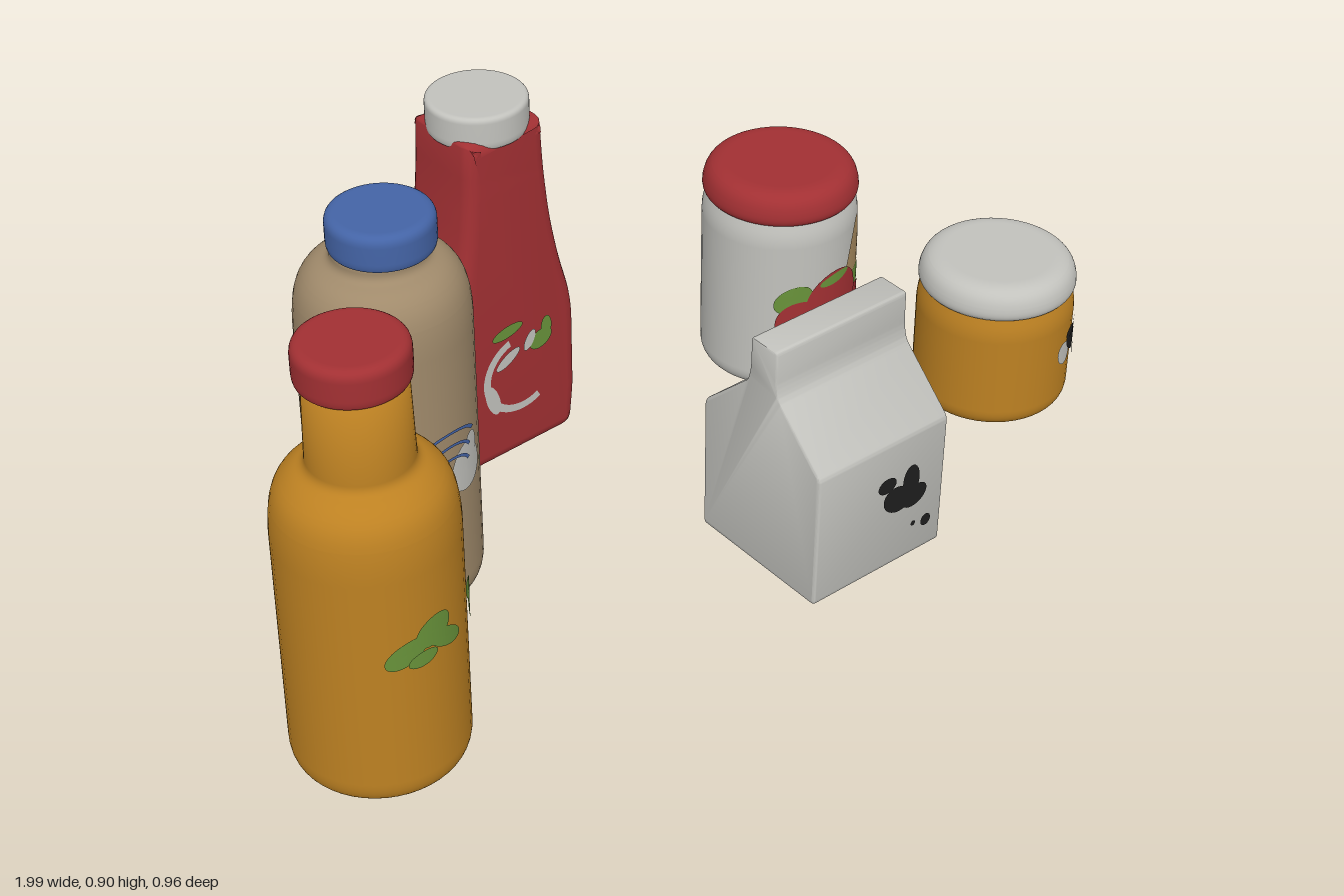
import * as THREE from 'three';
import { toCreasedNormals } from 'three/addons/utils/BufferGeometryUtils.js';

const paint = (name, color) => {
  const m = new THREE.MeshStandardMaterial({ color });
  m.name = name;
  return m;
};

export function createModel() {
  const amber = paint('amber', 0xbd8122), red = paint('red', 0xa23033);
  const white = paint('white', 0xc2c2bd), beige = paint('beige', 0xa08a6b);
  const blue = paint('blue', 0x4464a6), green = paint('green', 0x68923a);
  const black = paint('black', 0x1e1e1e), tan = paint('tan', 0xa98c60);

  const model = new THREE.Group();
  model.name = 'groceries';

  const item = (name, x, z, turn = 0) => {
    const g = new THREE.Group();
    g.name = name;
    g.position.set(x, 0, z);
    g.rotation.y = turn;
    model.add(g);
    return g;
  };
  const add = (parent, name, geometry, material) => {
    const mesh = new THREE.Mesh(geometry, material);
    mesh.name = name;
    parent.add(mesh);
    return mesh;
  };

  // Outline through corners [x, y, rounding]
  const roundInto = (path, pts, closed) => {
    const v = pts.map(p => new THREE.Vector2(p[0], p[1]));
    const n = v.length;
    pts.forEach((p, i) => {
      const first = i === 0, last = i === n - 1;
      const r = p[2] || 0;
      if (!r || (!closed && (first || last))) {
        first ? path.moveTo(p[0], p[1]) : path.lineTo(p[0], p[1]);
        return;
      }
      const toward = q => v[i].clone().add(q.clone().sub(v[i]).setLength(Math.min(r, q.distanceTo(v[i]) * 0.49)));
      const a = toward(v[(i + n - 1) % n]), b = toward(v[(i + 1) % n]);
      first ? path.moveTo(a.x, a.y) : path.lineTo(a.x, a.y);
      path.quadraticCurveTo(v[i].x, v[i].y, b.x, b.y);
    });
    if (closed) path.closePath();
    return path;
  };
  const turned = pts => new THREE.LatheGeometry(roundInto(new THREE.Path(), pts, false).getPoints(6), 48);
  const slab = (pts, depth, bevel) => {
    const g = new THREE.ExtrudeGeometry(roundInto(new THREE.Shape(), pts, true), {
      depth: depth - 2 * bevel, bevelEnabled: true, bevelSize: bevel, bevelThickness: bevel,
      bevelOffset: -bevel, bevelSegments: 4, curveSegments: 6,
    });
    g.translate(0, 0, bevel - depth / 2);
    return toCreasedNormals(g, 0.6);
  };
  const cap = (r, y0, y1, round) => turned([[0, y0], [r - 0.004, y0, 0.01], [r, y0 + 0.012, 0.008], [r, y1, round], [0, y1]]);

  // Thin painted patch; wraps round the body when a radius is given
  const patch = (parent, name, mat, o) => {
    const { x, y, w, h, turn = 0, taper = 0, inner = 0, from = 0, sweep = Math.PI * 2, radius = 0, front = 0, lift = 0.002 } = o;
    const g = new THREE.RingGeometry(inner, 1, 28, 5, from, sweep);
    const p = g.attributes.position, c = Math.cos(turn), s = Math.sin(turn);
    for (let i = 0; i < p.count; i++) {
      const a = p.getX(i) * w * (1 - taper * p.getY(i)), b = p.getY(i) * h;
      const u = x + a * c - b * s, t = y + a * s + b * c;
      if (radius) p.setXYZ(i, (radius + lift) * Math.sin(u / radius), t, (radius + lift) * Math.cos(u / radius));
      else p.setXYZ(i, u, t, front + lift);
    }
    g.computeVertexNormals();
    return add(parent, name, g, mat);
  };
  // Rows of [material, x, y, halfWidth, halfHeight, turn, taper]
  const patches = (parent, name, base, rows) => rows.forEach(([mat, x, y, w, h, turn, taper], i) =>
    patch(parent, name, mat, { x, y, w, h, turn, taper, lift: 0.002 + i * 0.0007, ...base }));

  // Tall amber bottle
  const sauce = item('amberBottle', -0.832, 0.272);
  add(sauce, 'bottleBody', turned([[0, 0], [0.152, 0, 0.02], [0.168, 0.025, 0.025], [0.168, 0.545, 0.04],
    [0.157, 0.605, 0.03], [0.128, 0.638, 0.02], [0.097, 0.652, 0.015], [0.092, 0.83], [0, 0.83]]), amber);
  add(sauce, 'bottleCap', cap(0.103, 0.822, 0.9, 0.022), red).position.z = -0.006;
  patches(sauce, 'leaf', { radius: 0.168 }, [
    [green, -0.035, 0.345, 0.045, 0.024, 0.5], [green, 0.02, 0.375, 0.04, 0.03, 0.5],
    [green, 0.045, 0.345, 0.045, 0.02, -0.5], [green, -0.005, 0.325, 0.03, 0.016, 0.2],
    [green, 0.16, 0.335, 0.02, 0.045, 0.25], [green, 0.145, 0.375, 0.02, 0.03, 0.6],
  ]);

  // Beige bottle
  const shake = item('beigeBottle', -0.533, -0.115);
  add(shake, 'bottleBody', turned([[0, 0], [0.15, 0, 0.025], [0.168, 0.03, 0.03], [0.168, 0.645, 0.04],
    [0.157, 0.7, 0.03], [0.13, 0.735, 0.02], [0.092, 0.748, 0.015], [0.092, 0.79], [0, 0.79]]), beige);
  const blueCap = add(shake, 'bottleCap', cap(0.103, 0.776, 0.852, 0.022), blue);
  blueCap.position.z = 0.012;
  patches(shake, 'labelDrop', { radius: 0.168 }, [
    [white, 0.07, 0.325, 0.046, 0.055, 0.1, 0.2], [white, 0.085, 0.365, 0.02, 0.03],
    [black, -0.075, 0.405, 0.028, 0.006, -0.1], [black, -0.065, 0.365, 0.026, 0.005, -0.1],
    [black, -0.06, 0.335, 0.022, 0.005, -0.2],
  ]);
  for (const [y, w] of [[0.385, 0.075], [0.355, 0.06], [0.325, 0.055]])
    patch(shake, 'labelStripe', blue, { x: 0.025, y, w, h: 0.045, inner: 0.86, from: 0.45, sweep: 2.1, radius: 0.168, lift: 0.005 });

  // Red squeeze bottle with a flat, waisted body
  const ketchup = item('redBottle', -0.13, -0.375, 0.06);
  const side = [[0.155, 0, 0.03], [0.166, 0.1, 0.02], [0.166, 0.32, 0.05], [0.135, 0.43, 0.04],
    [0.113, 0.54, 0.05], [0.1, 0.66, 0.04], [0.094, 0.775, 0.01]];
  const mirrored = side.map(([x, y, r]) => [-x, y, r]).reverse();
  add(ketchup, 'bottleBody', slab([...side, ...mirrored], 0.19, 0.028), red);
  add(ketchup, 'bottleCap', cap(0.103, 0.752, 0.825, 0.012), white);
  patch(ketchup, 'fruitOutline', white, { x: 0.015, y: 0.205, w: 0.1, h: 0.095, inner: 0.82, from: 1.9, sweep: 3.3, front: 0.095 });
  patches(ketchup, 'fruitLeaf', { front: 0.095 }, [
    [white, -0.062, 0.165, 0.016, 0.04, 0.3], [white, -0.02, 0.25, 0.035, 0.013, 0.5],
    [green, -0.02, 0.318, 0.04, 0.014, 0.15], [green, 0.065, 0.265, 0.03, 0.022, 0.3],
    [green, 0.08, 0.29, 0.014, 0.025], [white, 0.035, 0.275, 0.012, 0.025, -0.5],
  ]);

  // Gable-topped carton
  const milk = item('carton', 0.205, 0.305, 0.012);
  const gable = [[0.168, 0, 0.01], [0.17, 0.308, 0.012], [0.046, 0.424, 0.012], [0.038, 0.455, 0.015], [0.037, 0.53, 0.008]];
  const carton = slab([...gable, ...gable.map(([x, y, r]) => [-x, y, r]).reverse()], 0.335, 0.006);
  carton.rotateY(-Math.PI / 2);
  add(milk, 'cartonBody', carton, white);
  patches(milk, 'spot', { front: 0.1695 }, [
    [black, 0.012, 0.21, 0.024, 0.018], [black, 0.04, 0.165, 0.038, 0.03, -0.5], [black, 0.075, 0.195, 0.022, 0.038],
    [black, 0.085, 0.155, 0.033, 0.025, 0.3], [black, 0.12, 0.077, 0.013, 0.014], [black, 0.085, 0.085, 0.006, 0.006],
  ]);

  // Round jars with domed lids
  const jar = (name, x, z, height, top, bodyMat, lidMat) => {
    const g = item(name, x, z);
    add(g, 'jarBody', turned([[0, 0], [0.148, 0, 0.02], [0.166, 0.022, 0.02], [0.167, height - 0.03, 0.02],
      [0.155, height + 0.01, 0.01], [0, height + 0.01]]), bodyMat);
    add(g, 'jarLid', turned([[0, height], [0.156, height, 0.012], [0.169, height + 0.016, 0.018],
      [0.16, top - 0.018, 0.025], [0.135, top, 0.022], [0, top]]), lidMat);
    return g;
  };
  const sauceJar = jar('whiteJar', 0.55, -0.243, 0.412, 0.486, white, red);
  patches(sauceJar, 'jarLabel', { radius: 0.167 }, [
    [tan, 0.1, 0.255, 0.05, 0.125, 0, 0.55],
    [green, -0.085, 0.235, 0.045, 0.03, 0.5], [green, 0.105, 0.222, 0.045, 0.03, 0.2],
    [red, -0.065, 0.175, 0.058, 0.055], [red, 0.085, 0.15, 0.07, 0.06],
    [red, 0.015, 0.205, 0.075, 0.082], [green, 0.012, 0.268, 0.04, 0.012, 0.15],
  ]);
  const honeyJar = jar('amberJar', 0.825, 0.147, 0.268, 0.34, amber, white);
  patches(honeyJar, 'bee', { radius: 0.167 }, [
    [white, 0.055, 0.145, 0.024, 0.03, 0.5], [white, 0.125, 0.175, 0.03, 0.035, -0.4],
    [black, 0.095, 0.16, 0.04, 0.024, -0.6], [black, 0.075, 0.19, 0.02, 0.014, 0.3],
    [black, 0.115, 0.125, 0.014, 0.016],
  ]);

  return model;
}
